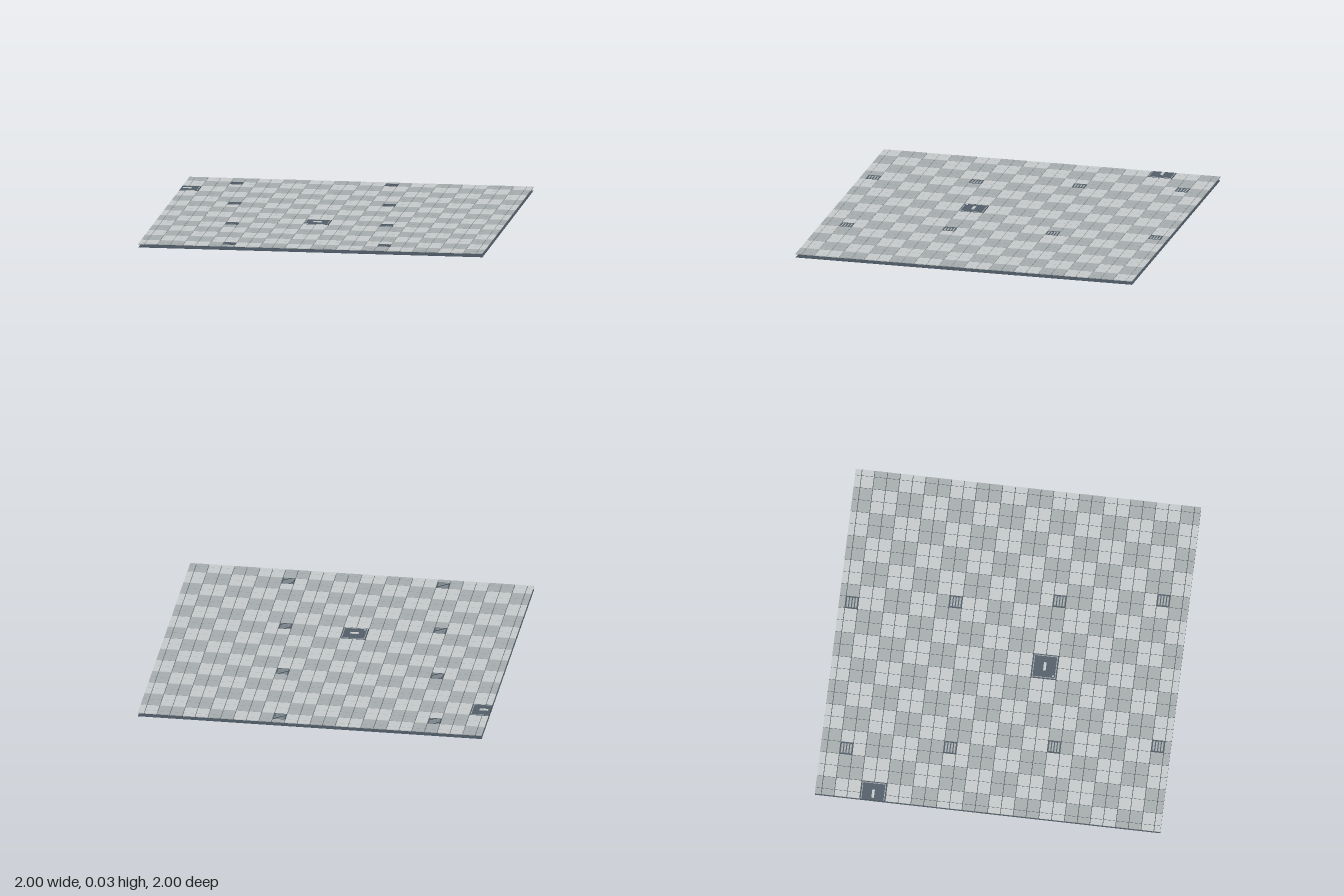
import * as THREE from 'three';
import { mergeGeometries } from 'three/addons/utils/BufferGeometryUtils.js';

const PITCH = 2 / 27;   // tile spacing; the outermost tiles are cut in half
const GAP = 0.0035;     // joint between tiles
const BED = 0.019;      // underside of the tiles
const TOP = 0.024;      // walking surface

const material = (name, color) => {
  const m = new THREE.MeshStandardMaterial({ color });
  m.name = name;
  return m;
};

// Box given by its limits, trimmed to the floor's square outline
function block(x0, x1, y0, y1, z0, z1) {
  const c = (v) => Math.min(1, Math.max(-1, v));
  [x0, x1, z0, z1] = [x0, x1, z0, z1].map(c);
  if (x1 - x0 < 1e-4 || z1 - z0 < 1e-4) return null;
  return new THREE.BoxGeometry(x1 - x0, y1 - y0, z1 - z0)
    .translate((x0 + x1) / 2, (y0 + y1) / 2, (z0 + z1) / 2);
}
const centred = (x, z, w, d, y0, y1) => block(x - w / 2, x + w / 2, y0, y1, z - d / 2, z + d / 2);

export function createModel() {
  const floor = new THREE.Group();
  floor.name = 'tiledFloor';
  const light = material('light tile', 0xc5c9c9);
  const mid = material('mid grey tile', 0xa6acad);
  const slate = material('slate panel', 0x525e69);
  const dark = material('dark joint', 0x48535e);

  const add = (name, parts, mat) => {
    const mesh = new THREE.Mesh(mergeGeometries(parts.filter(Boolean)), mat);
    mesh.name = name;
    floor.add(mesh);
  };

  // Vents fill one tile, hatches fill a block of two by two tiles
  const vents = [[4, 2], [16, 1], [5, 10], [17, 9], [18, 17], [6, 18], [19, 25], [7, 26]];
  const hatches = [[0, 2], [6, 8]];
  const isVent = (i, j) => vents.some(([a, b]) => a === i && b === j);
  const isHatch = (i, j) => hatches.some(([a, b]) => a === i >> 1 && b === j >> 1);

  // Subfloor sheet and the bed seen through the joints
  const sheet = (y) => new THREE.BoxGeometry(2, 0.001, 2).translate(0, y, 0);
  add('subfloor', [sheet(0.0005)], dark);
  add('jointBed', [sheet(BED - 0.0005)], dark);

  // Tiles in a checker of two by two blocks
  const tiles = [[], []];
  const size = PITCH - GAP;
  for (let i = 0; i < 28; i++) {
    for (let j = 0; j < 28; j++) {
      if (isVent(i, j) || isHatch(i, j)) continue;
      tiles[((i >> 1) + (j >> 1)) % 2].push(
        centred(i * PITCH - 1, j * PITCH - 1, size, size, BED, TOP));
    }
  }
  add('midTiles', tiles[0], mid);
  add('lightTiles', tiles[1], light);

  // Vents: grey plate, dark rim and slats
  const plates = [], slats = [];
  for (const [i, j] of vents) {
    const x = i * PITCH - 1, z = j * PITCH - 1;
    plates.push(centred(x, z, size, size, BED, TOP - 0.002));
    for (let k = -2; k <= 2; k++) {
      slats.push(centred(x, z + k * 0.0165, size, 0.006, BED, TOP));
    }
    for (const s of [-1, 1]) slats.push(centred(x + s * 0.0325, z, 0.006, size, BED, TOP));
  }
  add('ventPlates', plates, mid);
  add('ventSlats', slats, slate);

  // Access hatches: pale edging, slate lid, handle and lock
  const edging = [], lids = [], handles = [];
  for (const [a, b] of hatches) {
    const x = (2 * a + 0.5) * PITCH - 1, z = (2 * b + 0.5) * PITCH - 1;
    lids.push(centred(x, z, 0.144, 0.144, BED, TOP));
    for (const s of [-1, 1]) {
      edging.push(centred(x + s * 0.066, z, 0.004, 0.136, TOP, TOP + 0.0008));
      edging.push(centred(x, z + s * 0.066, 0.136, 0.004, TOP, TOP + 0.0008));
    }
    handles.push(centred(x, z, 0.05, 0.015, TOP, TOP + 0.005));
    handles.push(centred(x - 0.053, z + 0.053, 0.01, 0.01, TOP, TOP + 0.001));
  }
  add('hatchLids', lids, slate);
  add('hatchEdging', edging, mid);
  add('hatchHandles', handles, light);

  return floor;
}
